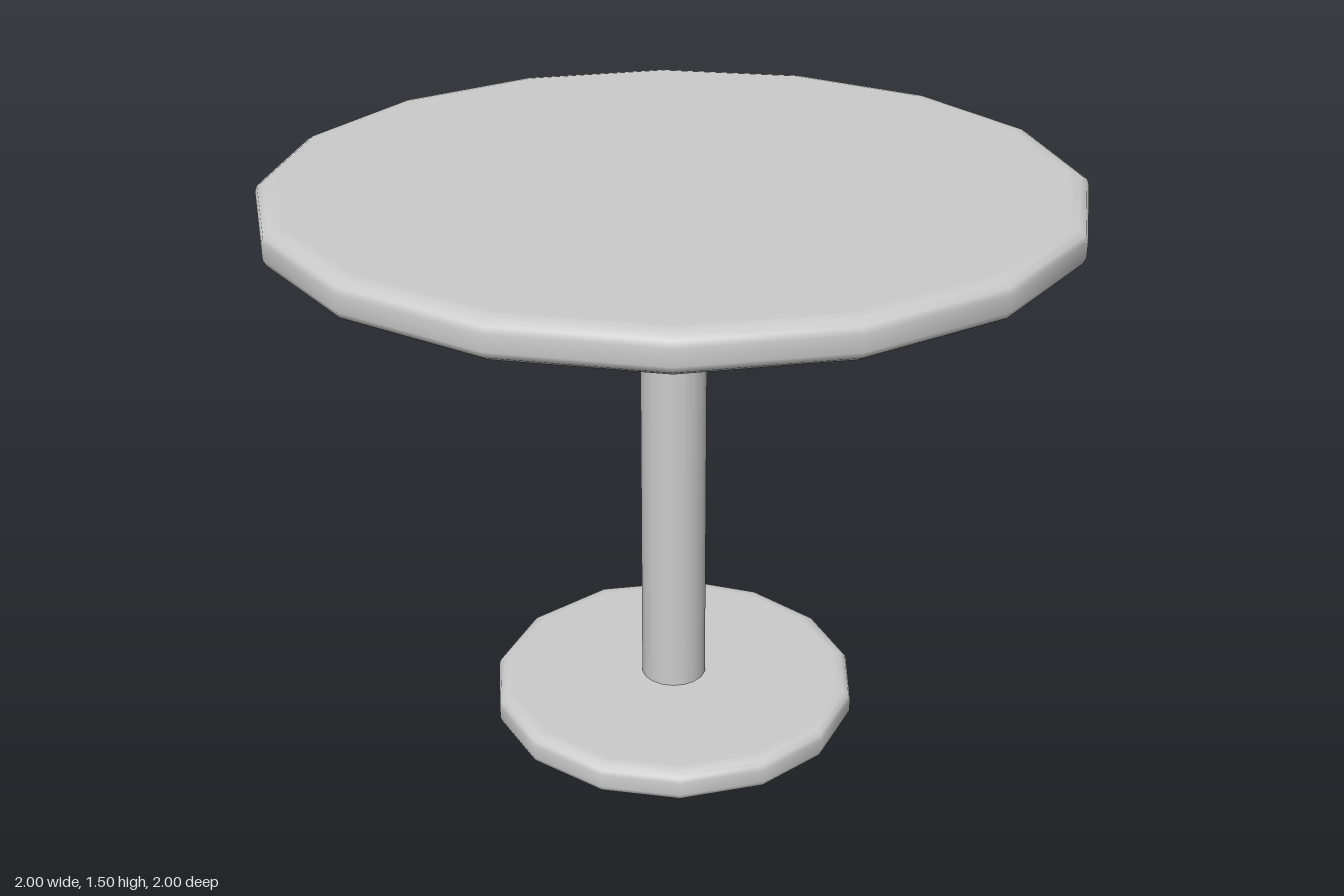
import * as THREE from 'three';

const material = new THREE.MeshStandardMaterial({ color: 0xcccccc });

// Corner directions in degrees, from +z towards +x (slightly uneven, hand-cut look)
const topCorners = [-3, 19, 41, 63, 85, 107.5, 131, 154, 177, 200, 223, 246, 269, 292, 314, 335.5];
const baseCorners = [-7, 19, 43, 69, 93, 117.5, 141, 166, 191, 215, 247, 276, 304, 329];

// Flat disc with a rounded rim, its corners placed at the given angles
function roundedDisc(name, radius, bottom, top, inset, corners) {
  const rise = (top - bottom) * 0.3;
  const profile = [[0, bottom], [radius - inset - 0.01, bottom], [radius - inset, bottom]];
  for (const t of [30, 60, 90]) {
    const a = THREE.MathUtils.degToRad(t);
    profile.push([radius - inset + inset * Math.sin(a), bottom + rise * (1 - Math.cos(a))]);
  }
  for (const [r, y] of [...profile].reverse()) profile.push([r, bottom + top - y]);

  const points = profile.map(([r, y]) => new THREE.Vector2(r, y));
  const geometry = new THREE.LatheGeometry(points, corners.length);
  const { position, normal } = geometry.attributes;
  const axis = new THREE.Vector3(0, 1, 0);
  const v = new THREE.Vector3();
  for (let i = 0; i < position.count; i++) {
    const column = Math.floor(i / points.length);
    const even = (column / corners.length) * Math.PI * 2;
    const turn = THREE.MathUtils.degToRad(corners[column % corners.length]) - even;
    for (const attribute of [position, normal]) {
      v.fromBufferAttribute(attribute, i).applyAxisAngle(axis, turn);
      attribute.setXYZ(i, v.x, v.y, v.z);
    }
  }
  const mesh = new THREE.Mesh(geometry, material);
  mesh.name = name;
  return mesh;
}

export function createModel() {
  const table = new THREE.Group();
  table.name = 'roundPedestalTable';

  table.add(roundedDisc('tableTop', 1, 1.405, 1.5, 0.045, topCorners));
  table.add(roundedDisc('base', 0.49, 0, 0.087, 0.035, baseCorners));

  // Column between base and top, open ends hidden inside the discs
  const column = new THREE.Mesh(new THREE.CylinderGeometry(0.084, 0.087, 1.36, 18, 1, true), material);
  column.name = 'column';
  column.position.y = 0.745;
  table.add(column);

  return table;
}
